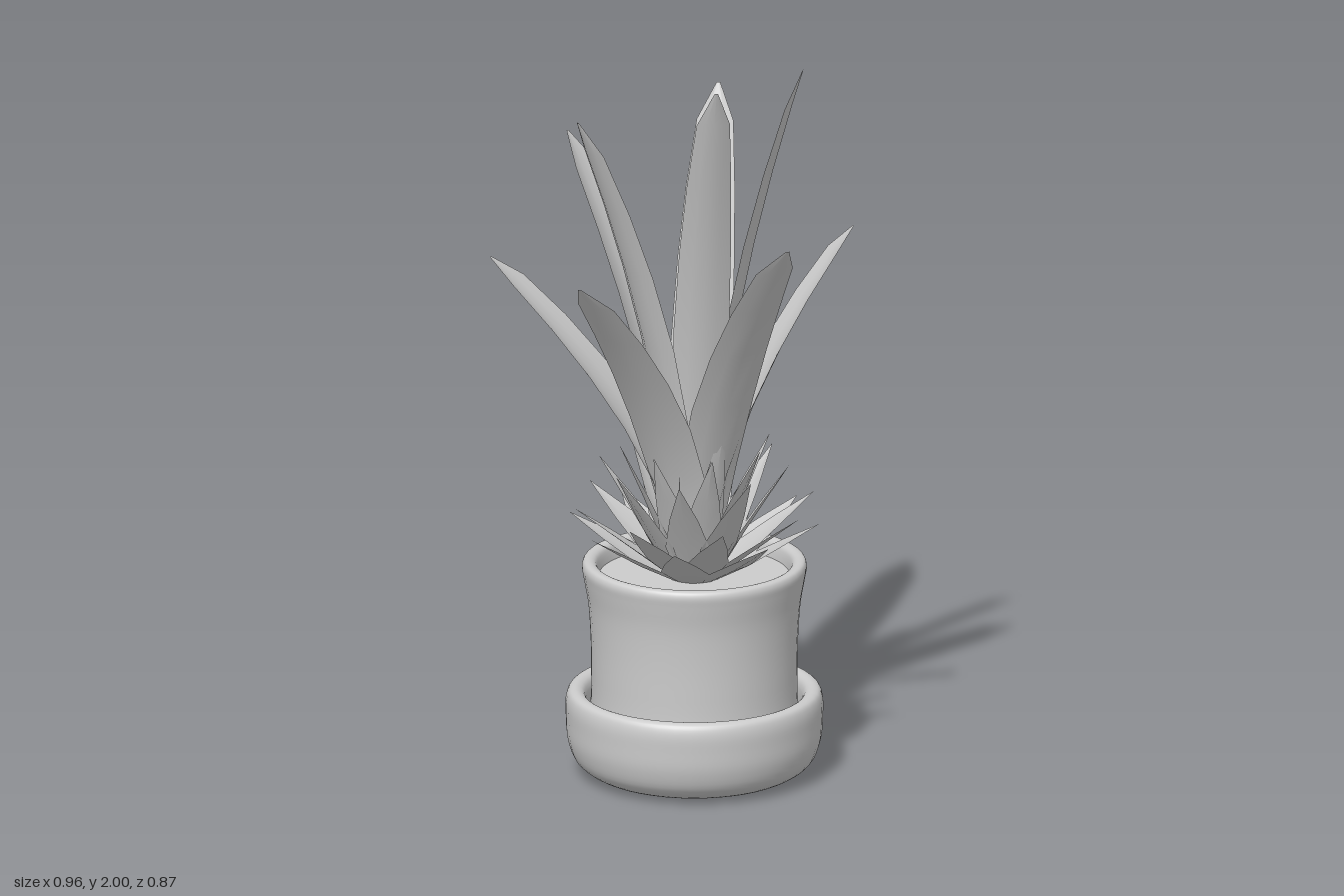
import * as THREE from 'three';

const CX = 0.075, CZ = -0.03; // pot axis
const grey = new THREE.MeshStandardMaterial({ color: 0xcccccc, side: THREE.DoubleSide });

function turned(name, points) {
  const curve = new THREE.CatmullRomCurve3(points.map(([r, y]) => new THREE.Vector3(r, y, 0)), false, 'centripetal');
  const profile = curve.getPoints(points.length * 4).map(p => new THREE.Vector2(Math.max(0, p.x), p.y));
  const mesh = new THREE.Mesh(new THREE.LatheGeometry(profile, 48), grey);
  mesh.name = name;
  return mesh;
}

// Blade bent outward along a power curve, channelled across its width.
// profile rows: [fraction of height, fraction of full width]
function blade(name, { angle, reach, y0, y1, width, profile, base, bend, cup, columns = 4 }) {
  const ox = Math.cos(angle), oz = Math.sin(angle);
  const positions = [], index = [];
  profile.forEach(([t, w], row) => {
    const r = base + (reach - base) * Math.pow(t, bend);
    for (let c = 0; c <= columns; c++) {
      const s = (2 * c) / columns - 1;
      const half = (s * w * width) / 2;
      const rr = r - cup * width * w * s * s;
      positions.push(ox * rr - oz * half, y0 + (y1 - y0) * t, oz * rr + ox * half);
      if (row && c) {
        const d = row * (columns + 1) + c, b = d - columns - 1;
        index.push(b - 1, d - 1, b, b, d - 1, d);
      }
    }
  });
  const geometry = new THREE.BufferGeometry();
  geometry.setAttribute('position', new THREE.Float32BufferAttribute(positions, 3));
  geometry.setIndex(index);
  geometry.computeVertexNormals();
  const mesh = new THREE.Mesh(geometry, grey);
  mesh.name = name;
  return mesh;
}

export function createModel() {
  const model = new THREE.Group();
  model.name = 'pottedPlant';
  const plant = new THREE.Group();
  plant.name = 'plantAndPot';
  plant.position.set(CX, 0, CZ);
  model.add(plant);

  // Saucer with a rounded belly and thick rolled rim
  plant.add(turned('saucer', [
    [0, 0.005], [0.2, 0.005], [0.265, 0.012], [0.315, 0.045], [0.337, 0.1], [0.342, 0.16],
    [0.342, 0.21], [0.333, 0.234], [0.315, 0.24], [0.297, 0.232], [0.288, 0.21], [0.285, 0.12], [0.24, 0.09], [0, 0.09],
  ]));

  // Flared pot with a rounded lip, open down to the soil
  plant.add(turned('pot', [
    [0, 0.09], [0.24, 0.09], [0.272, 0.12], [0.274, 0.25], [0.276, 0.38], [0.283, 0.48], [0.295, 0.55],
    [0.299, 0.58], [0.293, 0.594], [0.278, 0.597], [0.264, 0.59], [0.257, 0.57], [0.252, 0.5],
  ]));

  // Soil
  const soil = new THREE.Mesh(new THREE.CylinderGeometry(0.255, 0.25, 0.03, 48), grey);
  soil.name = 'soil';
  soil.position.y = 0.535;
  plant.add(soil);

  // Long leaves: tip x, y, z and width
  const leafProfile = [[0, 0.5], [0.15, 0.75], [0.32, 0.95], [0.5, 1], [0.66, 0.93], [0.8, 0.8], [0.93, 0.6], [1, 0.06]];
  const leaves = new THREE.Group();
  leaves.name = 'longLeaves';
  [
    [0.075, 1.8, -0.435, 0.165],
    [-0.29, 1.73, -0.17, 0.16],
    [-0.48, 1.4, -0.065, 0.19],
    [-0.2, 1.88, 0.22, 0.16],
    [-0.16, 1.48, 0.43, 0.2],
    [0.185, 2.0, 0.285, 0.15],
    [0.385, 1.585, 0.335, 0.19],
    [0.37, 1.98, -0.02, 0.14],
    [0.48, 1.5, -0.18, 0.16],
  ].forEach(([x, y, z, width], i) => {
    const dx = x - CX, dz = z - CZ;
    leaves.add(blade(`longLeaf${i + 1}`, {
      angle: Math.atan2(dz, dx), reach: Math.hypot(dx, dz), y0: 0.55, y1: y,
      width, profile: leafProfile, base: 0.04, bend: 1.75, cup: 0.14,
    }));
  });
  plant.add(leaves);

  // Rings of short pointed leaves, lowest and widest first
  const spikeProfile = [[0, 0.5], [0.35, 1], [0.65, 0.65], [1, 0.02]];
  const spikes = new THREE.Group();
  spikes.name = 'shortLeaves';
  [
    { reach: 0.335, y1: 0.71, width: 0.13, base: 0.07, bend: 0.9, turn: 0 },
    { reach: 0.325, y1: 0.76, width: 0.12, base: 0.06, bend: 1, turn: 0.5 },
    { reach: 0.255, y1: 0.87, width: 0.12, base: 0.06, bend: 1.05, turn: 0 },
    { reach: 0.205, y1: 0.93, width: 0.11, base: 0.05, bend: 1.1, turn: 0.5 },
    { reach: 0.14, y1: 1.02, width: 0.1, base: 0.04, bend: 1.1, turn: 0 },
  ].forEach(({ turn, ...ring }, k) => {
    for (let i = 0; i < 8; i++) {
      spikes.add(blade(`shortLeaf${k + 1}_${i + 1}`, {
        ...ring, angle: ((i + turn) * Math.PI) / 4, y0: 0.55, profile: spikeProfile, cup: 0.12, columns: 2,
      }));
    }
  });
  plant.add(spikes);

  return model;
}
